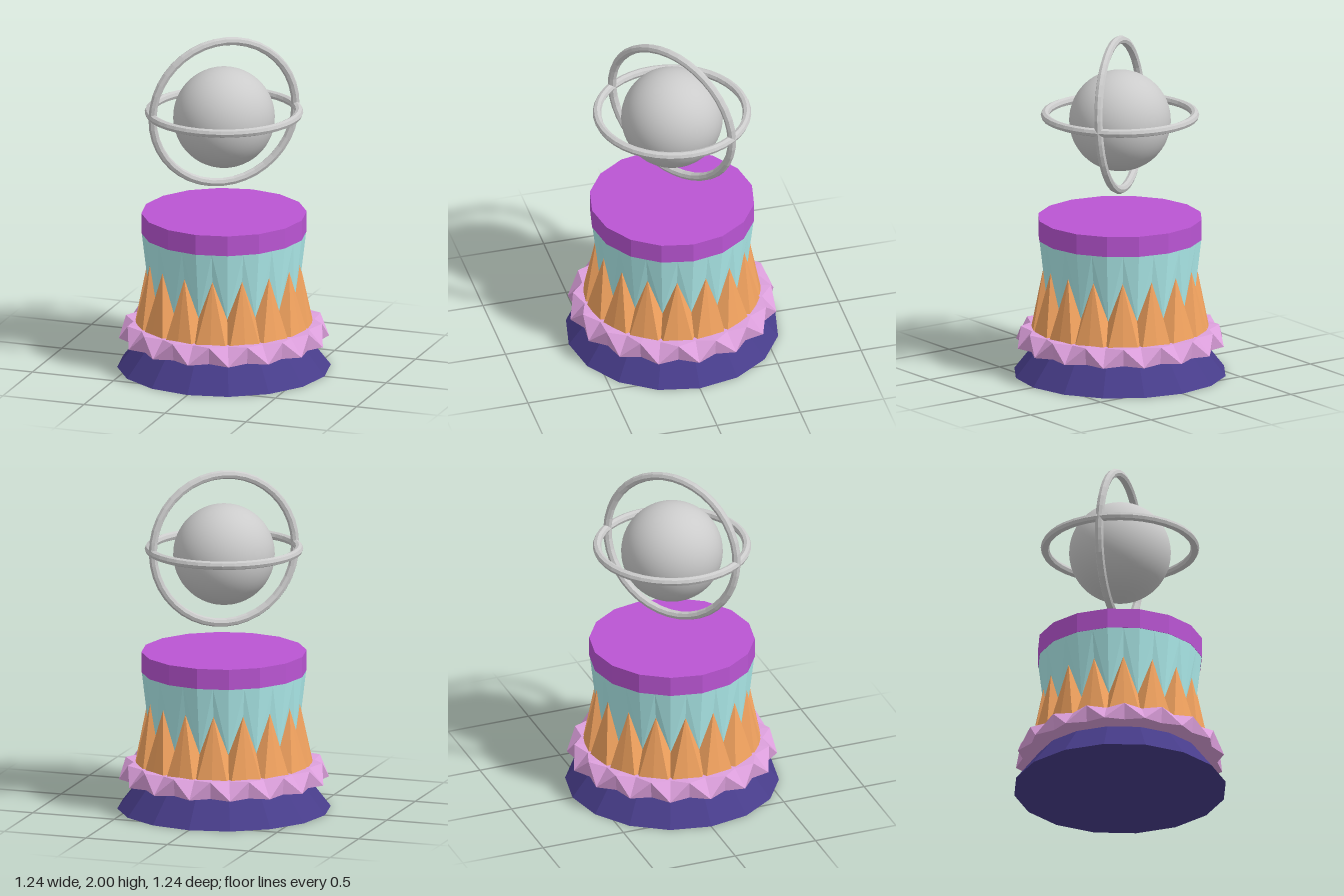
import * as THREE from 'three';

const SIDES = 16;

function material(color, flatShading = true) {
  return new THREE.MeshStandardMaterial({ color, flatShading });
}

// Faceted band through rings listed from bottom to top. Each ring is
// [tipRadius, tipY, valleyRadius, valleyY]; tips sit at every whole side,
// valleys half a side further round.
function zigzagBand(name, color, rings) {
  const n = SIDES * 2, pos = [];
  const point = (ring, k) => {
    const a = (k / n) * Math.PI * 2, odd = k % 2;
    const r = ring[odd ? 2 : 0];
    return [r * Math.sin(a), ring[odd ? 3 : 1], r * Math.cos(a)];
  };
  for (let i = 0; i < rings.length - 1; i++) {
    for (let k = 0; k < n; k++) {
      const a = point(rings[i], k), b = point(rings[i], k + 1);
      const c = point(rings[i + 1], k + 1), d = point(rings[i + 1], k);
      if (k % 2 === 0) pos.push(...a, ...b, ...c, ...a, ...c, ...d);
      else pos.push(...a, ...b, ...d, ...b, ...c, ...d);
    }
  }
  const geometry = new THREE.BufferGeometry();
  geometry.setAttribute('position', new THREE.Float32BufferAttribute(pos, 3));
  geometry.computeVertexNormals();
  const mat = material(color);
  mat.side = THREE.DoubleSide;
  const mesh = new THREE.Mesh(geometry, mat);
  mesh.name = name;
  return mesh;
}

function frustum(name, color, rTop, rBottom, y0, y1) {
  const geometry = new THREE.CylinderGeometry(rTop, rBottom, y1 - y0, SIDES);
  const mesh = new THREE.Mesh(geometry, material(color));
  mesh.position.y = (y0 + y1) / 2;
  mesh.name = name;
  return mesh;
}

function orbitRing(name) {
  const mesh = new THREE.Mesh(new THREE.TorusGeometry(0.435, 0.025, 8, 40), material(0xcccccc));
  mesh.position.y = 1.54;
  mesh.name = name;
  return mesh;
}

export function createModel() {
  const model = new THREE.Group();
  model.name = 'ringedGlobeOnPedestal';

  // Pedestal, from the ground up
  model.add(frustum('base', 0x483d8b, 0.48, 0.62, 0, 0.18));
  model.add(zigzagBand('ruffledCollar', 0xdda0dd, [
    [0.46, 0.175, 0.46, 0.175],
    [0.61, 0.175, 0.565, 0.18],
    [0.525, 0.275, 0.575, 0.28],
    [0.46, 0.28, 0.46, 0.28],
  ]));
  // The lower and upper drums meet along one zigzag line
  const seam = [0.43, 0.41, 0.442, 0.64];
  model.add(zigzagBand('lowerDrum', 0xf4a460, [[0.53, 0.2, 0.53, 0.2], seam]));
  model.add(zigzagBand('upperDrum', 0xafeeee, [seam, [0.478, 0.815, 0.47, 0.815]]));
  model.add(frustum('topSlab', 0xba55d3, 0.48, 0.48, 0.81, 0.93));

  // Floating globe
  const globe = new THREE.Mesh(new THREE.SphereGeometry(0.295, 48, 32), material(0xcccccc, false));
  globe.position.y = 1.507;
  globe.name = 'globe';
  model.add(globe);

  // Two rings around the globe
  const level = orbitRing('horizontalRing');
  level.rotation.x = Math.PI / 2;
  const upright = orbitRing('uprightRing');
  upright.rotation.set(0.06, 0.66, 0, 'YXZ');
  model.add(level, upright);

  return model;
}
